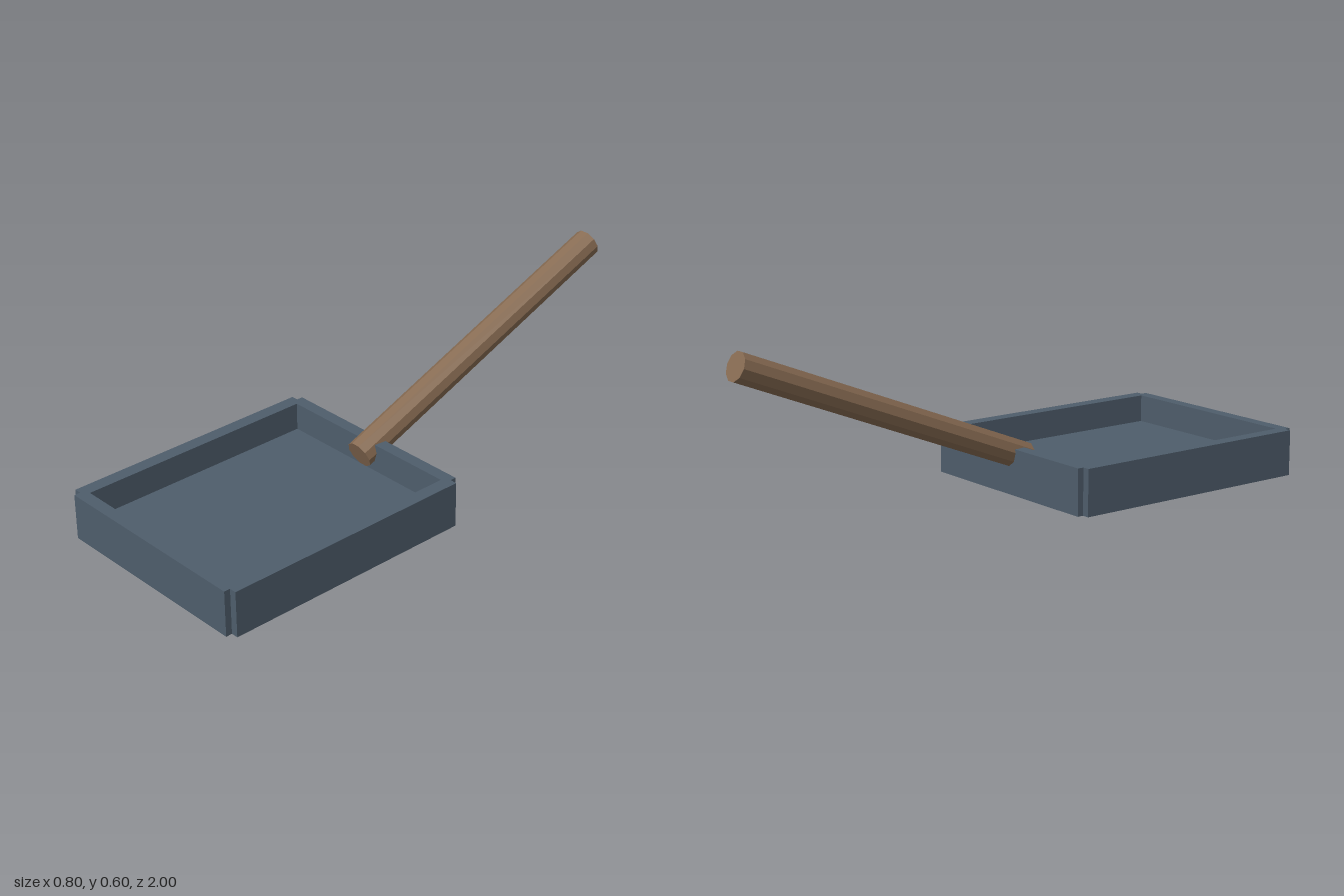
import * as THREE from 'three';

export function createModel() {
  const model = new THREE.Group();
  model.name = 'longHandledPan';

  const metal = new THREE.MeshStandardMaterial({ color: 0x4e5d6b });
  metal.name = 'blueGreyMetal';
  const wood = new THREE.MeshStandardMaterial({ color: 0x876b52, flatShading: true });
  wood.name = 'brownWood';

  // Square tray with a raised floor and four overlapping walls
  const tray = new THREE.Group();
  tray.name = 'tray';
  tray.position.z = 0.522;
  model.add(tray);

  const addBox = (name, w, h, d, x, z) => {
    const mesh = new THREE.Mesh(new THREE.BoxGeometry(w, h, d), metal);
    mesh.name = name;
    mesh.position.set(x, h / 2, z);
    tray.add(mesh);
  };

  const height = 0.16;
  addBox('trayFloor', 0.75, 0.062, 0.912, 0, 0);
  for (const s of [1, -1]) {
    addBox(s > 0 ? 'leftWall' : 'rightWall', 0.048, height, 0.912, s * 0.376, 0);
    addBox(s > 0 ? 'frontWall' : 'backWall', 0.75, height, 0.044, 0, s * 0.456);
  }

  // Ten-sided handle, rising backwards through the back wall
  const low = new THREE.Vector3(0, 0.118, 0.12);
  const high = new THREE.Vector3(0, 0.556, -0.982);
  const axis = high.clone().sub(low);
  const handle = new THREE.Mesh(
    new THREE.CylinderGeometry(0.05, 0.05, axis.length(), 10, 1, false, Math.PI / 2),
    wood
  );
  handle.name = 'handle';
  handle.position.copy(low).add(high).multiplyScalar(0.5);
  // Position is the midpoint of the two ends
  handle.rotation.x = Math.atan2(axis.z, axis.y);
  model.add(handle);

  return model;
}
